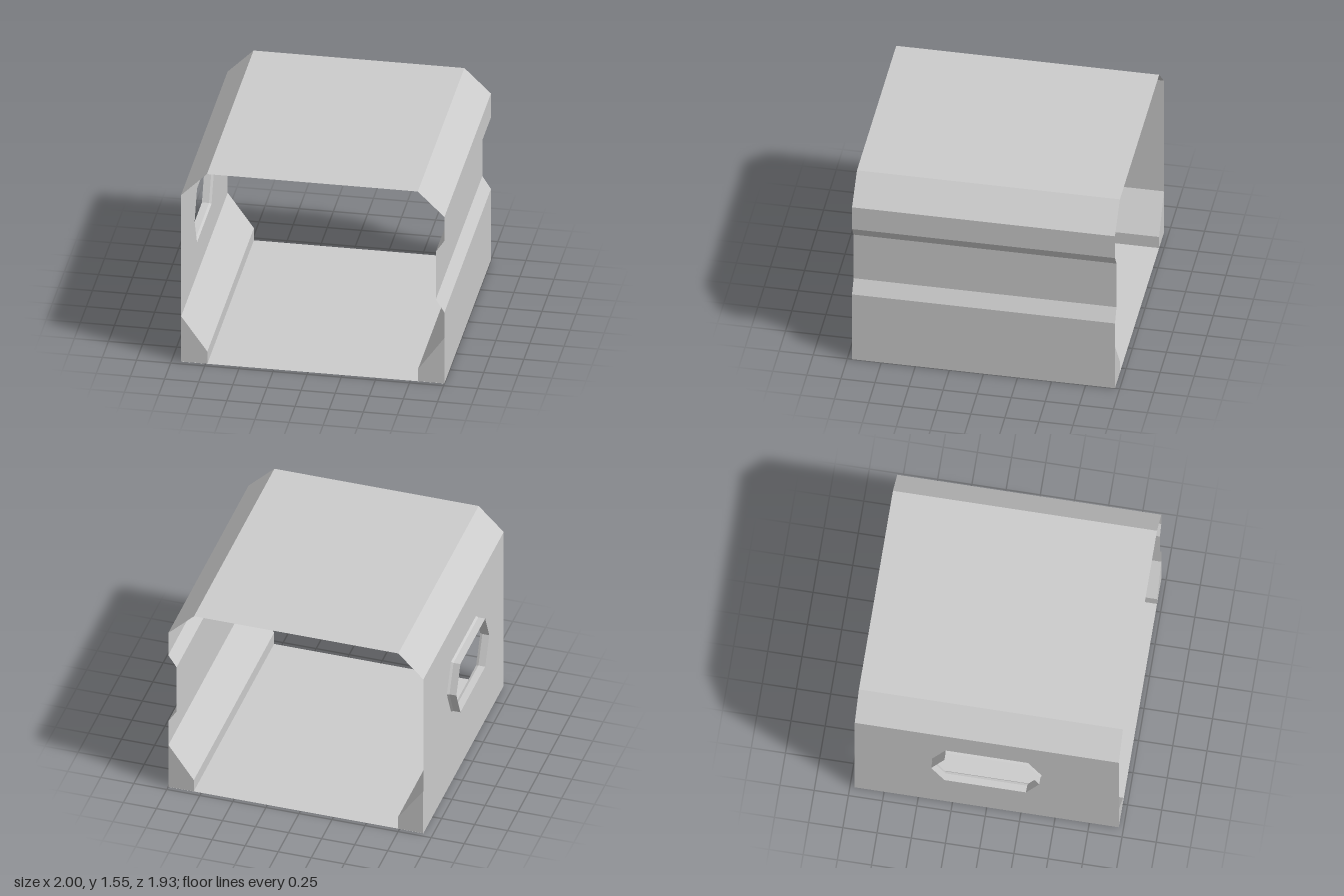
import * as THREE from 'three';

const HALF = 0.965;    // half length along z
const LEFT = 1.0;      // x of the grooved wall
const RIGHT = -0.93;   // x of the window wall

const material = new THREE.MeshStandardMaterial({
  color: 0xcccccc, flatShading: true, side: THREE.DoubleSide,
});

// Flat quads between successive rings of points
function loft(rings, closed) {
  const pos = [];
  for (let r = 0; r < rings.length - 1; r++) {
    const A = rings[r], B = rings[r + 1];
    const n = closed ? A.length : A.length - 1;
    for (let i = 0; i < n; i++) {
      const j = (i + 1) % A.length;
      pos.push(...A[i], ...A[j], ...B[j], ...A[i], ...B[j], ...B[i]);
    }
  }
  const g = new THREE.BufferGeometry();
  g.setAttribute('position', new THREE.Float32BufferAttribute(pos, 3));
  g.computeVertexNormals();
  return g;
}

// Sheet running the full length, from an x/y profile
function sheet(profile) {
  return loft([-HALF, HALF].map(z => profile.map(([x, y]) => [x, y, z])), false);
}

// Window outline as [z, y], grown by e
function hexagon(e) {
  const w = 0.395 + e, s = 0.298 + e / 2, h = 0.213 + e, cy = 0.847;
  return [[w, cy], [s, cy + h], [-s, cy + h], [-w, cy], [-s, cy - h], [s, cy - h]];
}

export function createModel() {
  const group = new THREE.Group();
  const add = (name, geometry) => {
    const mesh = new THREE.Mesh(geometry, material);
    mesh.name = name;
    group.add(mesh);
    return mesh;
  };

  // Floor, grooved wall and chamfered ceiling
  add('floor', sheet([[RIGHT, 0], [LEFT, 0]]));
  add('groovedWall', sheet([
    [LEFT, 0], [LEFT, 0.58], [0.937, 0.68], [0.937, 1.07], [LEFT, 1.165], [LEFT, 1.36],
  ]));
  add('ceiling', sheet([[LEFT, 1.36], [0.805, 1.55], [-0.74, 1.55], [RIGHT, 1.36]]));

  // Flat wall with a six-sided opening
  const wall = new THREE.Shape(
    [[-HALF, 0], [HALF, 0], [HALF, 1.36], [-HALF, 1.36]].map(p => new THREE.Vector2(...p)));
  wall.holes.push(new THREE.Path(hexagon(0.007).reverse().map(p => new THREE.Vector2(...p))));
  add('windowWall', new THREE.ShapeGeometry(wall).rotateY(-Math.PI / 2)).position.x = RIGHT;

  // Thin collar standing out around the opening, flared at the wall
  const collar = [[RIGHT, 0.007], [-0.948, 0], [-1, 0]]
    .map(([x, e]) => hexagon(e).map(([z, y]) => [x, y, z]));
  add('windowCollar', loft(collar, true));

  // Sloped ledges along the foot of both walls
  for (const [name, wallX, side] of [['rightLedge', RIGHT, 1], ['leftLedge', LEFT, -1]]) {
    const shape = new THREE.Shape([[0.001, 0.001], [0.193, 0.001], [0.193, 0.1], [0.001, 0.37]]
      .map(([x, y]) => new THREE.Vector2(wallX + side * x, y)));
    const geometry = new THREE.ExtrudeGeometry(shape, { depth: 2 * HALF, bevelEnabled: false });
    add(name, geometry.translate(0, 0, -HALF));
  }

  return group;
}
